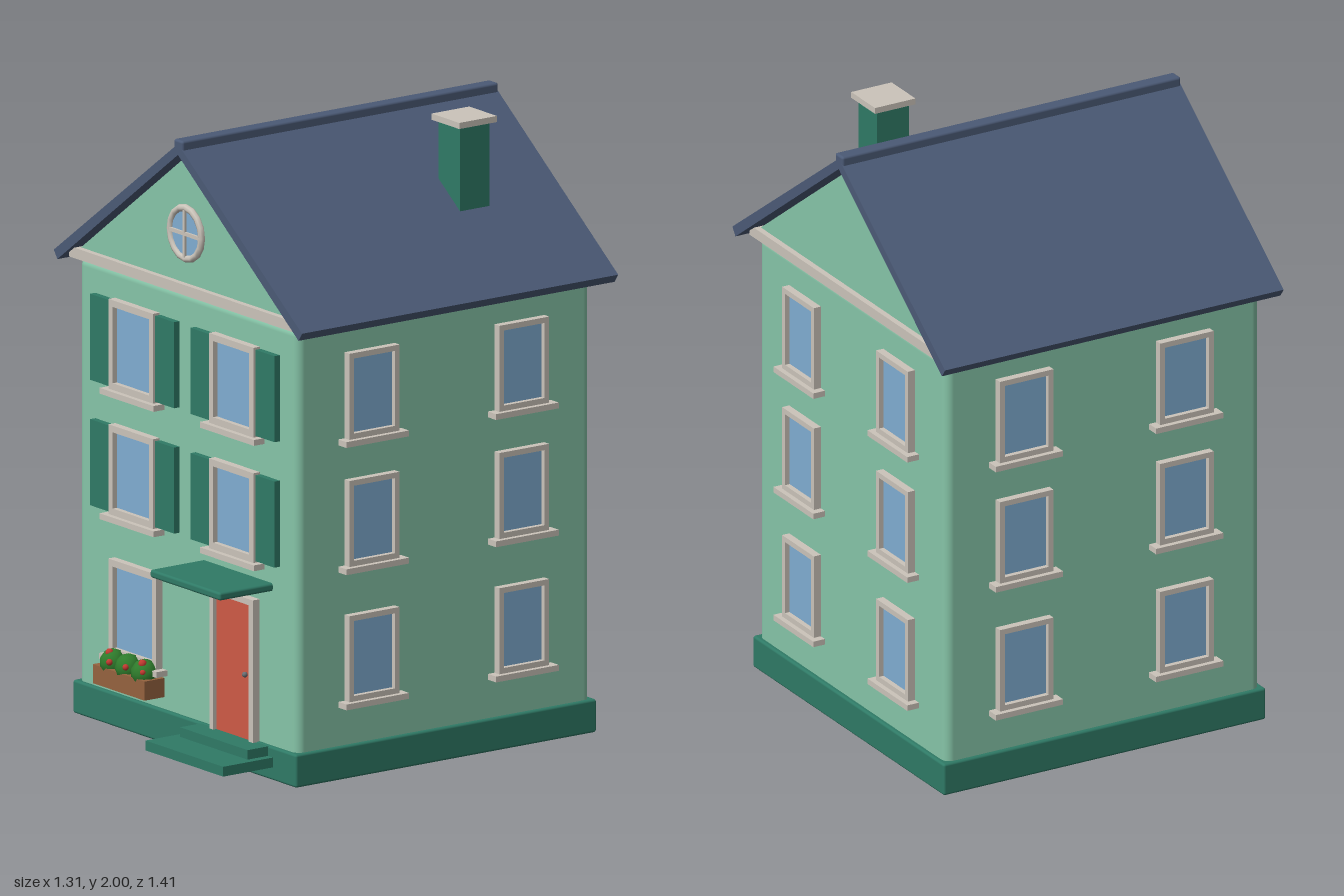
import * as THREE from 'three';
import { RoundedBoxGeometry } from 'three/addons/geometries/RoundedBoxGeometry.js';

const mat = (name, color) => {
  const m = new THREE.MeshStandardMaterial({ color });
  m.name = name;
  return m;
};

export function createModel() {
  const wall = mat('mint wall', 0x86c5a8), green = mat('dark green', 0x2f7a66);
  const slate = mat('slate roof', 0x4b5a76), trim = mat('pale trim', 0xcbc4ba);
  const glass = mat('window glass', 0x80add2), red = mat('door red', 0xcf5a46);
  const wood = mat('planter wood', 0x96633f), leaf = mat('leaf green', 0x2f7d2c);
  const petal = mat('petal red', 0xc23a30), metal = mat('handle metal', 0x6b6f74);

  const house = new THREE.Group();
  house.name = 'townHouse';
  const FRONT = 0.497, BACK = -0.656, MID = (FRONT + BACK) / 2, DEPTH = FRONT - BACK, SIDE = 0.578;

  const add = (name, geometry, material, x = 0, y = 0, z = 0, parent = house) => {
    const mesh = new THREE.Mesh(geometry, material);
    mesh.name = name;
    mesh.position.set(x, y, z);
    parent.add(mesh);
    return mesh;
  };
  // Box given by its limits on each axis
  const box = (name, material, x0, x1, y0, y1, z0, z1, parent = house, radius = 0) => {
    const s = [x1 - x0, y1 - y0, z1 - z0];
    const g = radius ? new RoundedBoxGeometry(...s, 3, radius) : new THREE.BoxGeometry(...s);
    return add(name, g, material, (x0 + x1) / 2, (y0 + y1) / 2, (z0 + z1) / 2, parent);
  };
  const prism = (points, depth, hole) => {
    const shape = new THREE.Shape(points.map(p => new THREE.Vector2(...p)));
    if (hole) shape.holes.push(new THREE.Path(hole.map(p => new THREE.Vector2(...p))));
    return new THREE.ExtrudeGeometry(shape, { depth, bevelEnabled: false });
  };
  const rect = (x0, x1, y0, y1) => [[x0, y0], [x1, y0], [x1, y1], [x0, y1]];

  // Walls, plinth, cornice and gable
  box('walls', wall, -SIDE, SIDE, 0.06, 1.49, BACK, FRONT, house, 0.03);
  box('plinth', green, -0.59, 0.59, 0, 0.108, BACK - 0.014, FRONT + 0.013, house, 0.008);
  box('cornice', trim, -0.6, 0.6, 1.484, 1.518, BACK - 0.02, FRONT + 0.02);
  add('gable', prism([[-0.567, 1.515], [0.567, 1.515], [0, 1.935]], DEPTH), wall, 0, 0, BACK);

  // Roof slopes and ridge
  const roofBack = -0.705, roofFront = 0.535;
  for (const s of [1, -1]) {
    const section = [[0, 1.978], [0.656 * s, 1.497], [0.637 * s, 1.47], [0, 1.942]];
    add('roofSlope', prism(section, roofFront - roofBack), slate, 0, 0, roofBack);
  }
  box('roofRidge', slate, -0.024, 0.024, 1.952, 1.99, roofBack, roofFront, house, 0.008);

  // Chimney
  box('chimney', green, 0.255, 0.37, 1.6, 1.982, -0.413, -0.297);
  box('chimneyCap', trim, 0.239, 0.386, 1.98, 2, -0.43, -0.282);

  // Framed window facing +z, with its origin at the middle of the wall opening
  const makeWindow = (name, w, h, border) => {
    const g = new THREE.Group();
    g.name = name;
    const x = w / 2, y = h / 2, b = border;
    add('frame', prism(rect(-x, x, -y, y), 0.031, rect(-x + b, x - b, -y + b, y - b)), trim, 0, 0, -0.005, g);
    box('pane', glass, -x + b, x - b, -y + b, y - b, 0, 0.009, g);
    box('sill', trim, -x - 0.025, x + 0.025, -y - 0.019, -y, -0.005, 0.043, g);
    house.add(g);
    return g;
  };

  // Side and back windows
  for (const y of [1.246, 0.832, 0.392]) {
    for (const s of [1, -1]) {
      for (const z of [0.212, -0.375]) {
        const win = makeWindow('sideWindow', 0.196, 0.28, 0.018);
        win.position.set(s * SIDE, y, z);
        win.rotation.y = s * Math.PI / 2;
      }
      const win = makeWindow('backWindow', 0.196, 0.28, 0.018);
      win.position.set(s * 0.29, y, BACK);
      win.rotation.y = Math.PI;
    }
  }

  // Front windows with shutters
  for (const y of [1.246, 0.838]) {
    for (const x of [-0.265, 0.265]) {
      const win = makeWindow('frontWindow', 0.235, 0.292, 0.022);
      win.position.set(x, y, FRONT);
      for (const s of [1, -1]) {
        const c = s * 0.172;
        box('shutter', green, c - 0.05, c + 0.05, -0.14, 0.14, -0.005, 0.021, win);
      }
    }
  }
  makeWindow('groundWindow', 0.252, 0.31, 0.022).position.set(-0.258, 0.392, FRONT);

  // Round gable window with cross bars
  const round = new THREE.Group();
  round.name = 'roundWindow';
  round.position.set(0, 1.682, FRONT);
  house.add(round);
  add('ring', new THREE.TorusGeometry(0.083, 0.012, 8, 16), trim, 0, 0, 0.006, round);
  add('roundPane', new THREE.CylinderGeometry(0.08, 0.08, 0.008, 24).rotateX(Math.PI / 2), glass, 0, 0, 0.004, round);
  box('crossBar', trim, -0.078, 0.078, -0.006, 0.006, 0, 0.016, round);
  box('uprightBar', trim, -0.006, 0.006, -0.078, 0.078, 0, 0.016, round);

  // Door, surround, canopy and steps
  const surround = [[0.153, 0.1], [0.171, 0.1], [0.171, 0.55], [0.359, 0.55], [0.359, 0.1], [0.381, 0.1], [0.381, 0.57], [0.153, 0.57]];
  add('doorSurround', prism(surround, 0.035), trim, 0, 0, FRONT - 0.008);
  box('door', red, 0.171, 0.359, 0.1, 0.55, FRONT - 0.01, FRONT + 0.014);
  add('doorHandle', new THREE.SphereGeometry(0.009, 12, 8), metal, 0.329, 0.317, FRONT + 0.02);
  box('canopy', green, 0.08, 0.45, 0.61, 0.636, FRONT - 0.01, 0.705, house, 0.008);
  box('upperStep', green, 0.085, 0.442, 0.075, 0.106, FRONT, 0.59);
  box('lowerStep', green, 0.058, 0.468, 0.043, 0.075, FRONT, 0.705);

  // Flower box with shrubs and blossoms
  box('flowerBox', wood, -0.392, -0.118, 0.148, 0.21, 0.5, 0.578);
  [-0.336, -0.255, -0.17].forEach((x, i) => {
    const shrub = add('shrub', new THREE.IcosahedronGeometry(0.044, 1), leaf, x, 0.222, 0.54);
    shrub.rotation.y = i;
    shrub.scale.y = 1.05;
    const dx = [0.002, -0.008, 0.01][i];
    add('blossom', new THREE.IcosahedronGeometry(0.014, 1), petal, x + dx, i === 1 ? 0.246 : 0.256, 0.555);
    add('blossom', new THREE.IcosahedronGeometry(0.011, 1), petal, x + 0.024, 0.232, 0.572 - i * 0.004);
  });

  return house;
}
